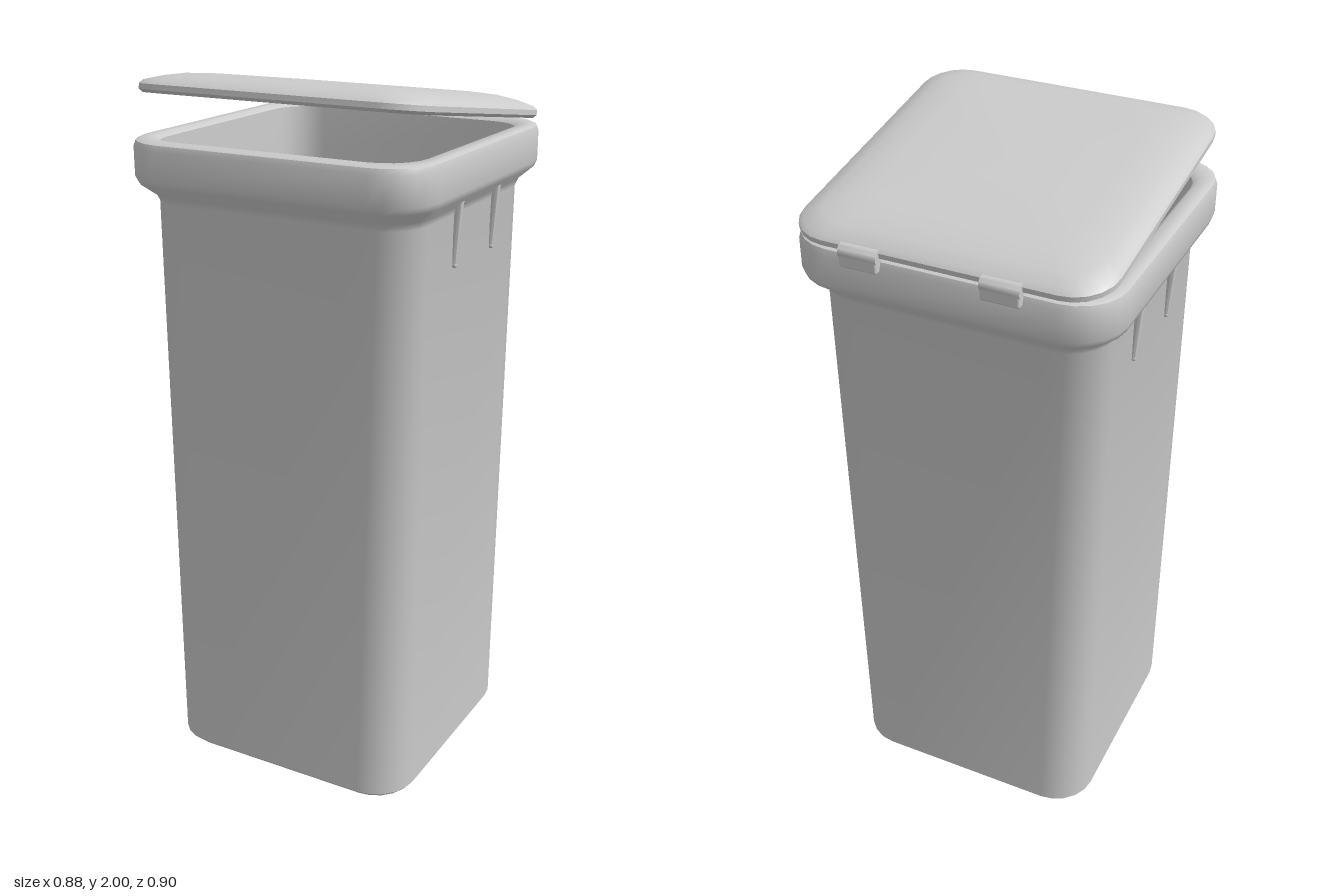
import * as THREE from 'three';
import { toCreasedNormals } from 'three/addons/utils/BufferGeometryUtils.js';
import { RoundedBoxGeometry } from 'three/addons/geometries/RoundedBoxGeometry.js';

const material = new THREE.MeshStandardMaterial({ color: 0xcccccc });
const CORNER_STEPS = 5;

// Rounded rectangle at height y: half width hx, from z0 (back) to z1 (front), corner radius r
function ring(y, hx, z0, z1, r) {
  const centres = [[hx - r, z1 - r], [r - hx, z1 - r], [r - hx, z0 + r], [hx - r, z0 + r]];
  const points = [];
  centres.forEach(([cx, cz], q) => {
    for (let i = 0; i <= CORNER_STEPS; i++) {
      const a = (q + i / CORNER_STEPS) * Math.PI / 2;
      points.push([cx + r * Math.cos(a), y, cz + r * Math.sin(a)]);
    }
  });
  return points;
}

// Skin through the sections, closed by a fan at each end
function loft(sections) {
  const rings = sections.map(s => ring(...s));
  const n = rings[0].length, last = rings.length - 1;
  const positions = rings.flat(2), index = [];
  const centre = s => [0, s[0], (s[2] + s[3]) / 2];
  positions.push(...centre(sections[0]), ...centre(sections[last]));
  const bottom = n * rings.length, top = bottom + 1;
  for (let j = 0; j < n; j++) {
    const k = (j + 1) % n;
    for (let i = 0; i < last; i++) {
      const a = i * n + j, b = i * n + k, c = a + n, d = b + n;
      index.push(a, c, b, b, c, d);
    }
    index.push(bottom, j, k, top, last * n + k, last * n + j);
  }
  const geometry = new THREE.BufferGeometry();
  geometry.setAttribute('position', new THREE.Float32BufferAttribute(positions, 3));
  geometry.setIndex(index);
  return toCreasedNormals(geometry, 0.7);
}

function add(parent, name, geometry, x = 0, y = 0, z = 0) {
  const mesh = new THREE.Mesh(geometry, material);
  mesh.name = name;
  mesh.position.set(x, y, z);
  parent.add(mesh);
  return mesh;
}

export function createModel() {
  const model = new THREE.Group();
  model.name = 'wheelessBin';

  // Hollow body: underside, tapered wall, flared rim, inner wall, floor
  add(model, 'body', loft([
    [0, 0.37, -0.35, 0.385, 0.11],
    [0.015, 0.383, -0.365, 0.4, 0.12],
    [1.66, 0.393, -0.38, 0.4, 0.12],
    [1.68, 0.4, -0.388, 0.406, 0.12],
    [1.712, 0.434, -0.424, 0.442, 0.13],
    [1.73, 0.44, -0.43, 0.449, 0.13],
    [1.81, 0.44, -0.43, 0.449, 0.13],
    [1.825, 0.435, -0.425, 0.443, 0.126],
    [1.83, 0.425, -0.415, 0.433, 0.12],
    [1.83, 0.395, -0.385, 0.403, 0.11],
    [1.82, 0.383, -0.373, 0.391, 0.105],
    [1.68, 0.378, -0.366, 0.386, 0.105],
    [0.03, 0.367, -0.35, 0.385, 0.105],
  ]));

  // Lid, a shallow domed shell raised at the front
  const lid = add(model, 'lid', loft([
    [0.03, 0.32, 0.11, 0.75, 0.08],
    [0.012, 0.39, 0.04, 0.82, 0.09],
    [0, 0.4, 0.03, 0.83, 0.1],
    [0, 0.417, 0.009, 0.851, 0.105],
    [0.008, 0.425, 0, 0.86, 0.11],
    [0.022, 0.425, 0, 0.86, 0.11],
    [0.032, 0.416, 0.01, 0.85, 0.105],
    [0.046, 0.375, 0.05, 0.81, 0.09],
    [0.056, 0.33, 0.095, 0.765, 0.08],
    [0.06, 0.27, 0.155, 0.705, 0.07],
  ]), 0, 1.83, -0.43);
  lid.rotation.x = -0.145;

  // Hinges: a rolled knuckle with a short tab against the rim
  for (const x of [-0.172, 0.207]) {
    const hinge = new THREE.Group();
    hinge.name = 'hinge';
    hinge.position.set(x, 1.838, -0.429);
    const knuckle = add(hinge, 'hingeKnuckle', toCreasedNormals(new THREE.CylinderGeometry(0.021, 0.021, 0.105, 12), 0.7));
    knuckle.rotation.z = Math.PI / 2;
    add(hinge, 'hingeTab', new RoundedBoxGeometry(0.105, 0.04, 0.026, 2, 0.006), 0, -0.019, -0.006);
    model.add(hinge);
  }

  // Tapered ribs under the rim on both sides
  const ribGeometry = toCreasedNormals(new THREE.CylinderGeometry(0.013, 0.007, 0.17, 8), 0.8);
  const tipGeometry = new THREE.SphereGeometry(0.008, 8, 6);
  for (const side of [-1, 1]) {
    for (const z of [-0.12, 0.12]) {
      const rib = add(model, 'sideRib', ribGeometry, side * 0.4, 1.61, z);
      rib.rotation.z = -side * 0.06;
      add(rib, 'ribTip', tipGeometry, 0, -0.085, 0);
    }
  }
  return model;
}
